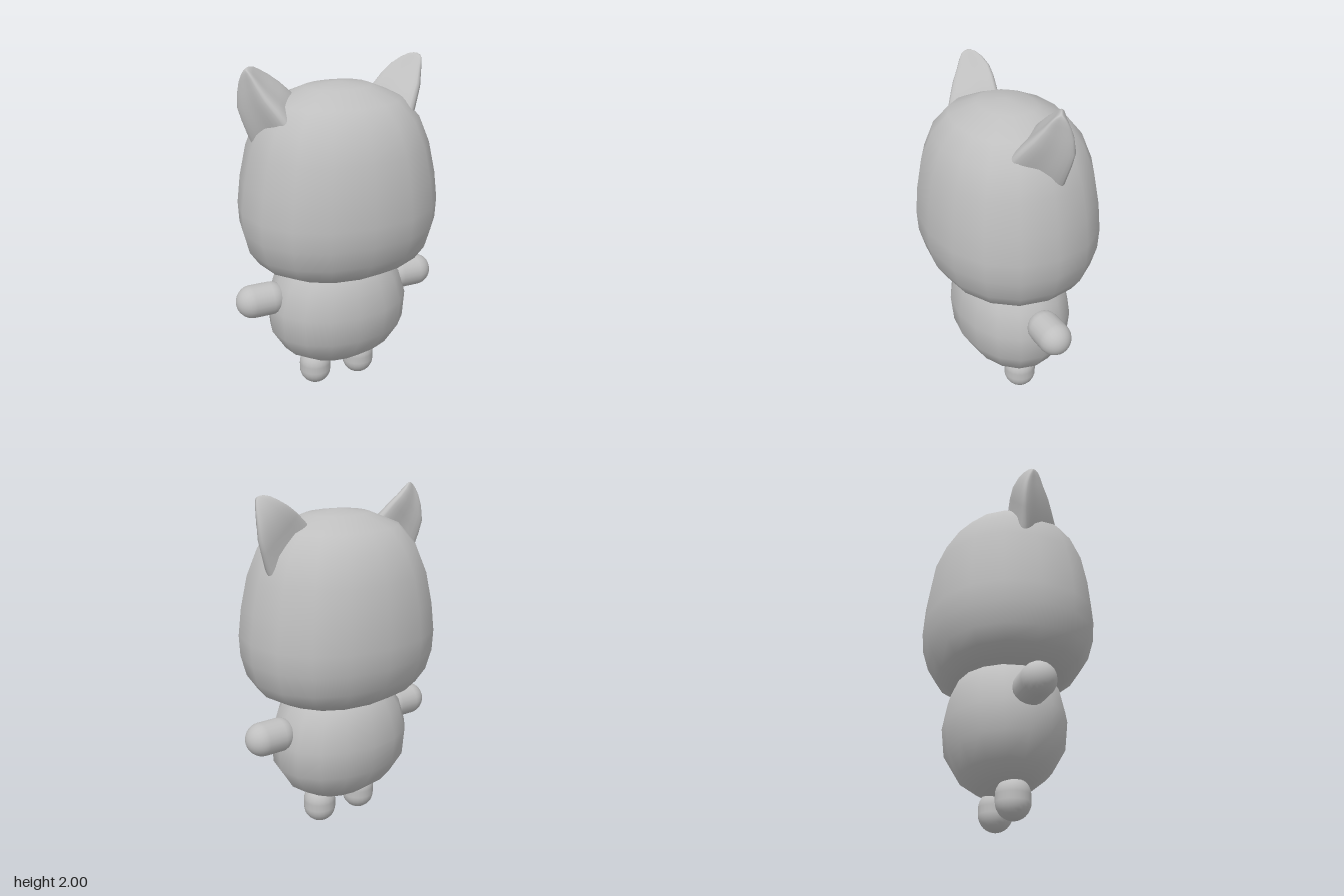
import * as THREE from 'three';
import { mergeVertices } from 'three/addons/utils/BufferGeometryUtils.js';

// Smooth skin over closed rings of points, ordered bottom to top
function loft(rings) {
  const n = rings[0].length;
  const pos = rings.flat().flatMap((p) => [p.x, p.y, p.z]);
  const index = [];
  for (let i = 0; i < rings.length - 1; i++) {
    for (let j = 0; j < n; j++) {
      const a = i * n + j, b = i * n + ((j + 1) % n);
      index.push(a, b, b + n, a, b + n, a + n);
    }
  }
  let g = new THREE.BufferGeometry();
  g.setAttribute('position', new THREE.Float32BufferAttribute(pos, 3));
  g.setIndex(index);
  g = mergeVertices(g, 1e-5);
  g.computeVertexNormals();
  return g;
}

// Rounded-square ring from [y, half width, half depth]
function ring([y, rx, rz], power, sides, cz) {
  const e = 2 / power;
  const soft = (v) => Math.sign(v) * Math.pow(Math.abs(v), e);
  return Array.from({ length: sides }, (_, j) => {
    const a = (j / sides) * Math.PI * 2;
    return new THREE.Vector3(rx * soft(Math.cos(a)), y, cz - rz * soft(Math.sin(a)));
  });
}

// Rounded-triangle ear that leans outward; side is +1 or -1
function earGeometry(side) {
  const corners = [[-0.12, 0.12, -0.09], [-0.01, -0.01, 0.175], [0.13, -0.11, -0.085]]
    .map((c) => new THREE.Vector3(...c).multiplyScalar(1.12));
  const pts = corners.flatMap((c, i) => {
    const next = corners[(i + 1) % 3];
    return [0.1, 0.5, 0.9].map((t) => c.clone().lerp(next, t));
  });
  const section = new THREE.CatmullRomCurve3(pts, true).getPoints(36).slice(0, 36);
  // centre x, y, z and size of each section, base to tip
  const levels = [
    [0.30, 1.60, 0.02, 1.1], [0.37, 1.72, 0.013, 1], [0.42, 1.80, -0.01, 0.86],
    [0.46, 1.86, -0.025, 0.72], [0.488, 1.92, -0.03, 0.5], [0.505, 1.96, -0.025, 0.33],
    [0.515, 1.982, -0.02, 0.19], [0.52, 1.991, -0.018, 0.09], [0.522, 1.993, -0.018, 0],
  ];
  return loft(levels.map(([x, y, z, k]) => {
    const r = section.map((p) => new THREE.Vector3(side * (x + p.x * k), y + p.y * k, z + p.z * k));
    return side < 0 ? r.reverse() : r;
  }));
}

export function createModel() {
  const model = new THREE.Group();
  const grey = new THREE.MeshStandardMaterial({ color: 0xbfbfbf });
  grey.name = 'plain grey';
  const add = (name, geometry, x = 0, y = 0, z = 0) => {
    const m = new THREE.Mesh(geometry, grey);
    m.name = name;
    m.position.set(x, y, z);
    model.add(m);
  };

  // Big boxy head
  const head = [
    [0.805, 0, 0], [0.81, 0.21, 0.17], [0.82, 0.37, 0.31], [0.88, 0.49, 0.4], [0.96, 0.545, 0.45],
    [1.08, 0.575, 0.485], [1.2, 0.58, 0.492], [1.36, 0.56, 0.48], [1.54, 0.52, 0.45],
    [1.69, 0.46, 0.39], [1.8, 0.36, 0.3], [1.87, 0.19, 0.15], [1.893, 0, 0],
  ];
  add('head', loft(head.map((r) => ring(r, 2.2, 16, 0))));

  // Round body, its top tucked into the head
  const body = [
    [0.172, 0, 0], [0.2, 0.21, 0.15], [0.28, 0.34, 0.25], [0.41, 0.42, 0.325], [0.575, 0.43, 0.342],
    [0.72, 0.385, 0.315], [0.83, 0.31, 0.265], [0.92, 0.18, 0.15], [0.95, 0, 0],
  ];
  add('body', loft(body.map((r) => ring(r, 2.1, 16, -0.018))));

  // Ears, arms and legs in pairs
  for (const [side, label] of [[1, 'left'], [-1, 'right']]) {
    add(label + 'Ear', earGeometry(side));
    const arm = new THREE.CapsuleGeometry(0.098, 0.109, 8, 20).rotateZ(Math.PI / 2);
    add(label + 'Arm', arm, side * 0.4825, 0.642, -0.016);
    const leg = new THREE.CapsuleGeometry(0.097, 0.04, 8, 20);
    add(label + 'Leg', leg, side * 0.147, 0.117, -0.016);
  }
  return model;
}
